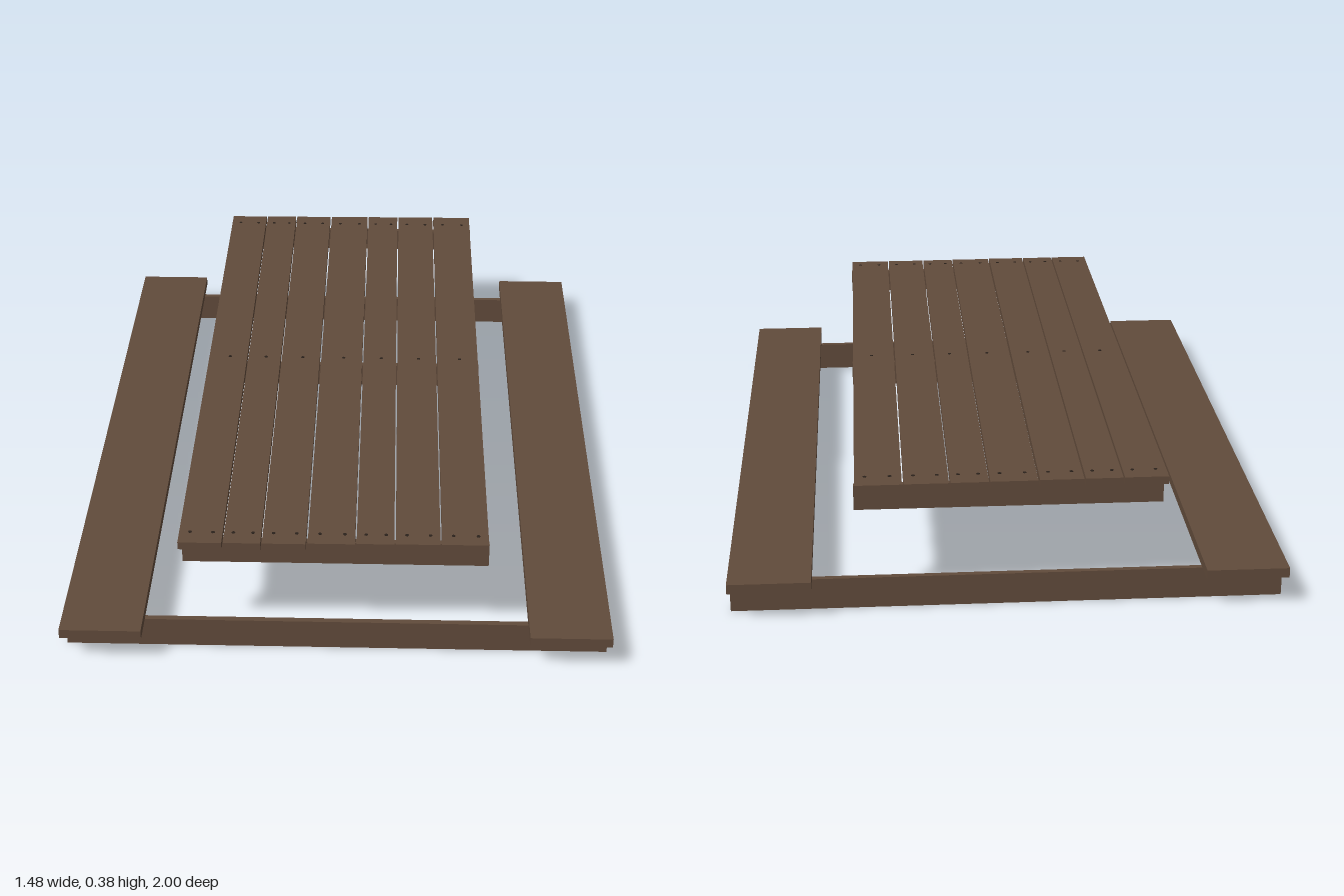
import * as THREE from 'three';

export function createModel() {
  const model = new THREE.Group();
  const wood = new THREE.MeshStandardMaterial({ color: 0x614b3b });
  wood.name = 'brown wood';
  const iron = new THREE.MeshStandardMaterial({ color: 0x2a211b });
  iron.name = 'dark nail';

  // Board given by its min and max corners; openEnds drops the two x end faces
  function board(name, [x0, y0, z0], [x1, y1, z1], openEnds = false) {
    const geometry = new THREE.BoxGeometry(x1 - x0, y1 - y0, z1 - z0);
    if (openEnds) {
      geometry.setIndex(Array.from(geometry.index.array).slice(12));
      geometry.clearGroups();
    }
    const mesh = new THREE.Mesh(geometry, wood);
    mesh.position.set((x0 + x1) / 2, (y0 + y1) / 2, (z0 + z1) / 2);
    mesh.name = name;
    model.add(mesh);
  }

  // Benches, each with a long beam under its middle
  for (const [side, s] of [['left', 1], ['right', -1]]) {
    const x = 0.63 * s;
    board(side + 'Bench', [x - 0.11, 0.088, -1], [x + 0.11, 0.115, 1]);
    board(side + 'BenchBeam', [x - 0.008, 0.013, -0.91], [x + 0.008, 0.088, 0.895]);
  }

  // Cross rails joining the benches, and the ones under the table top
  const railZ = { front: 0.903, middle: -0.01, back: -0.918 };
  for (const [place, z] of Object.entries(railZ)) {
    if (place !== 'middle') {
      board(place + 'BenchRail', [-0.737, 0, z - 0.008], [0.737, 0.087, z + 0.008], true);
    }
    board(place + 'TableRail', [-0.408, 0.285, z - 0.008], [0.405, 0.354, z + 0.008], true);
  }

  // Table planks: left edge, right edge, back end, front end
  const planks = [
    [-0.414, -0.299, -0.967, 0.951], [-0.295, -0.197, -0.968, 0.95],
    [-0.193, -0.078, -0.969, 0.95], [-0.073, 0.051, -0.971, 0.947],
    [0.055, 0.154, -0.972, 0.945], [0.158, 0.275, -0.973, 0.944],
    [0.279, 0.402, -0.974, 0.943],
  ];
  const nailGeometry = new THREE.CylinderGeometry(0.005, 0.005, 0.003, 8);
  planks.forEach(([x0, x1, z0, z1], i) => {
    board('tablePlank' + (i + 1), [x0, 0.353, z0], [x1, 0.375, z1]);
    // Nail heads over each rail: pairs at the ends, one in the middle
    for (const [place, z] of Object.entries(railZ)) {
      for (const t of place === 'middle' ? [0.55] : [0.25, 0.78]) {
        const nail = new THREE.Mesh(nailGeometry, iron);
        nail.name = place + 'Nail';
        nail.position.set(x0 + (x1 - x0) * t, 0.3745, z);
        model.add(nail);
      }
    }
  });
  return model;
}
